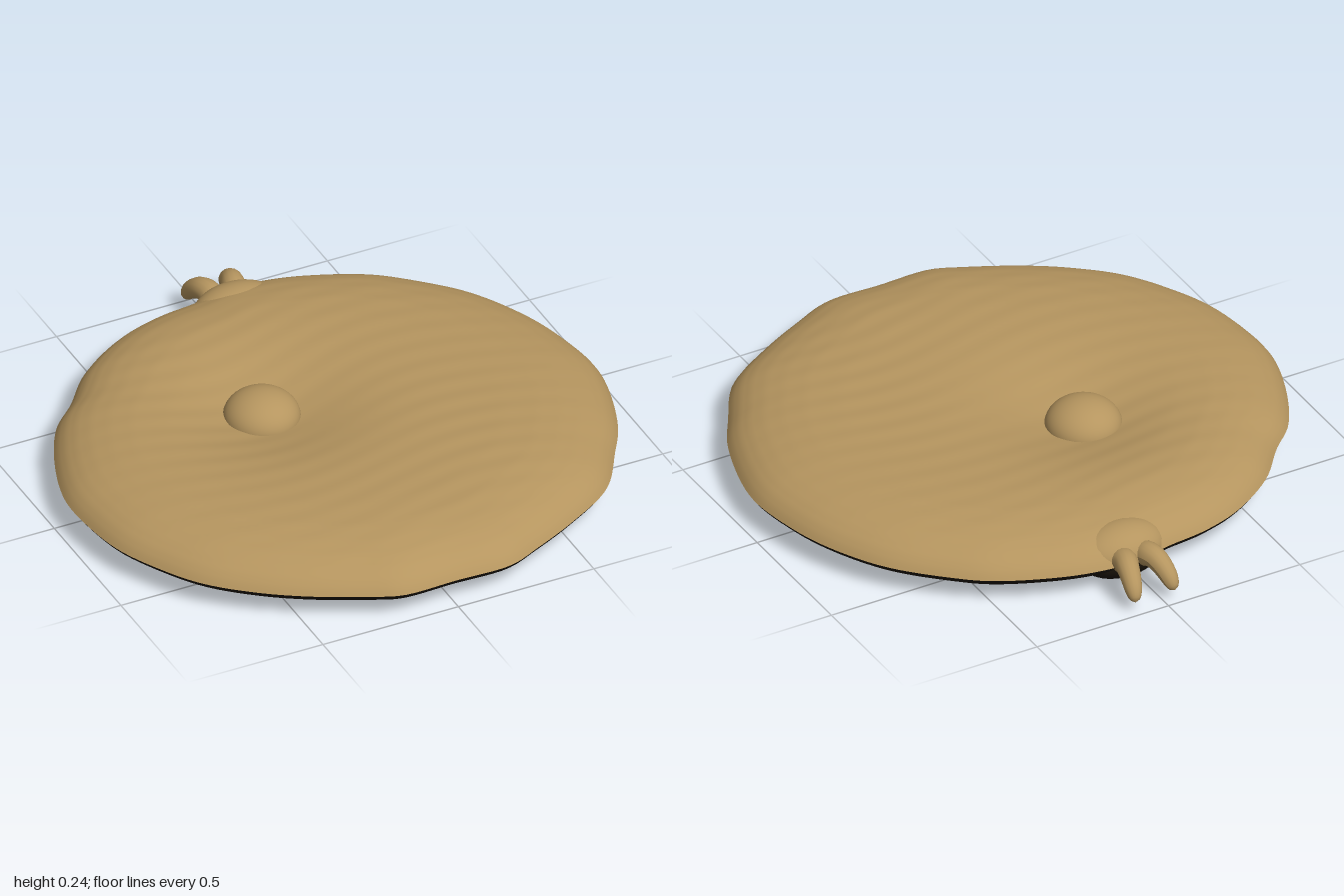
import * as THREE from 'three';

// Irregular rim of the disc as x, z pairs, starting at the back
const RIM = [0.03, -0.85, -0.1, -0.82, -0.25, -0.8, -0.4, -0.75, -0.58, -0.63, -0.7, -0.49, -0.8, -0.39,
  -0.9, -0.2, -0.96, 0, -0.96, 0.15, -0.93, 0.33, -0.87, 0.47, -0.77, 0.63, -0.63, 0.76, -0.48, 0.86,
  -0.3, 0.95, -0.2, 0.99, 0, 0.99, 0.2, 0.99, 0.32, 0.94, 0.5, 0.85, 0.68, 0.73, 0.8, 0.55, 0.87, 0.43,
  0.94, 0.22, 0.96, 0.08, 0.94, -0.08, 0.9, -0.23, 0.82, -0.4, 0.75, -0.5, 0.62, -0.63, 0.52, -0.71,
  0.35, -0.79, 0.2, -0.835];
const CENTRE_Z = 0.07, RIM_Y = 0.1, SEGS = 180, RINGS = 56;

// Linear lookup in a profile of [fraction, height] steps
function profile(points, f) {
  for (let i = 1; i < points.length; i++) {
    const [a, ya] = points[i - 1], [b, yb] = points[i];
    if (f <= b) return THREE.MathUtils.lerp(ya, yb, (f - a) / (b - a));
  }
  return points[points.length - 1][1];
}
const TOP = [[0, 0.215], [0.6, 0.215], [0.72, 0.21], [0.8, 0.2], [0.87, 0.185], [0.92, 0.167], [0.96, 0.145], [0.985, 0.122], [1, RIM_Y]];
const BOTTOM = [[0, 0], [0.3, 0.003], [0.6, 0.016], [0.8, 0.03], [0.91, 0.045], [0.96, 0.062], [0.985, 0.08], [1, RIM_Y]];

// Upper face with a shallow hollow around the knob and faint wrinkles
function topHeight(f, x, z) {
  const d2 = (x + 0.17) ** 2 + (z + 0.08) ** 2;
  const hollow = 0.075 * Math.exp(-d2 / 0.085);
  const wrinkle = 0.0012 * Math.sin(z * 60 + 3 * Math.sin(x * 5)) * Math.sin(Math.PI * f);
  return profile(TOP, f) - hollow + wrinkle;
}

// Closed sheet made of rings shrunk from the rim towards the centre
function sheet(heightAt, facesUp) {
  const pts = [];
  for (let i = 0; i < RIM.length; i += 2) pts.push(new THREE.Vector3(RIM[i], 0, RIM[i + 1]));
  const rim = new THREE.CatmullRomCurve3(pts, true).getSpacedPoints(SEGS);
  const pos = [], index = [];
  for (let r = 0; r <= RINGS; r++) {
    const f = 1 - (1 - r / RINGS) ** 1.3;
    for (let s = 0; s < SEGS; s++) {
      const x = rim[s].x * f, z = CENTRE_Z + (rim[s].z - CENTRE_Z) * f;
      pos.push(x, heightAt(f, x, z), z);
      if (r === RINGS) continue;
      const a = r * SEGS + s, b = r * SEGS + (s + 1) % SEGS, c = a + SEGS, d = b + SEGS;
      const tris = r ? [a, c, d, a, d, b] : [a, c, d];
      index.push(...(facesUp ? tris : tris.reverse()));
    }
  }
  const g = new THREE.BufferGeometry();
  g.setAttribute('position', new THREE.Float32BufferAttribute(pos, 3));
  g.setIndex(index);
  g.computeVertexNormals();
  return g;
}

// Curved, tapering prong with a rounded tip
function prong(baseX, tipX) {
  const curve = new THREE.CatmullRomCurve3([[-0.8, 0.095, 0], [-0.85, 0.118, 0.1], [-0.89, 0.116, 0.4], [-0.94, 0.085, 0.75], [-0.978, 0.037, 1]]
    .map(([z, y, t]) => new THREE.Vector3(THREE.MathUtils.lerp(baseX, tipX, t), y, z)));
  const n = 28, sides = 16;
  const g = new THREE.TubeGeometry(curve, n, 1, sides, false);
  const p = g.attributes.position, v = new THREE.Vector3();
  for (let i = 0; i < p.count; i++) {
    const t = Math.floor(i / (sides + 1)) / n;
    const radius = (0.047 - 0.02 * t) * Math.sqrt(Math.max(0, 1 - t ** 10));
    const c = curve.getPointAt(t);
    v.fromBufferAttribute(p, i).sub(c).multiplyScalar(radius).add(c);
    p.setXYZ(i, v.x, v.y, v.z);
  }
  g.computeVertexNormals();
  return g;
}

export function createModel() {
  const tan = new THREE.MeshStandardMaterial({ color: 0xb5955f });
  const dark = new THREE.MeshStandardMaterial({ color: 0x1c150a });
  tan.name = 'tan';
  dark.name = 'darkBrown';
  const model = new THREE.Group();
  model.name = 'disc';
  const add = (name, geometry, material) => {
    const mesh = new THREE.Mesh(geometry, material);
    mesh.name = name;
    model.add(mesh);
    return mesh;
  };

  add('upperFace', sheet(topHeight, true), tan);
  add('underside', sheet((f) => profile(BOTTOM, f), false), dark);

  // Domed knob sitting in the hollow
  const knob = add('knob', new THREE.SphereGeometry(1, 40, 16, 0, Math.PI * 2, 0, Math.PI / 2), tan);
  knob.scale.set(0.13, 0.095, 0.13);
  knob.position.set(-0.185, 0.142, -0.1);

  // Thickened root at the back, tan above and dark below
  const half = (start) => new THREE.SphereGeometry(1, 32, 10, 0, Math.PI * 2, start, Math.PI / 2);
  for (const [name, start, mat] of [['rootTop', 0, tan], ['rootBottom', Math.PI / 2, dark]]) {
    const root = add(name, half(start), mat);
    root.scale.set(0.16, 0.095, 0.11);
    root.position.set(0.04, 0.098, -0.745);
  }

  // Pair of prongs curling down behind
  add('rightProng', prong(-0.005, -0.037), tan);
  add('leftProng', prong(0.078, 0.112), tan);
  return model;
}
